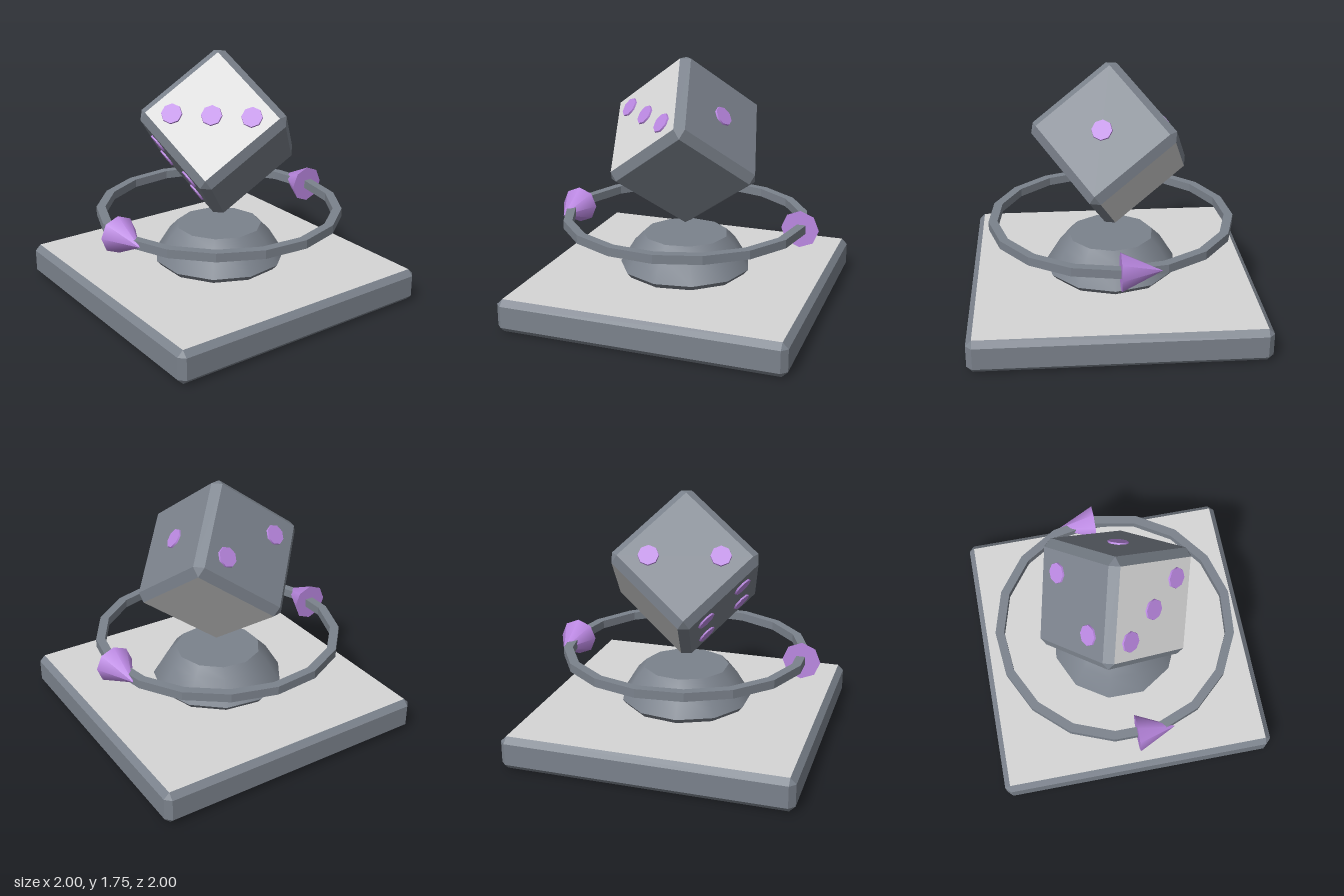
import * as THREE from 'three';
import { toCreasedNormals } from 'three/addons/utils/BufferGeometryUtils.js';
import { ConvexGeometry } from 'three/addons/geometries/ConvexGeometry.js';

// Box with chamfered edges and corners; its +y and -y faces use material 1, the rest material 0.
function chamferBox(hx, hy, hz, b) {
  const points = [];
  for (const sx of [-1, 1]) for (const sy of [-1, 1]) for (const sz of [-1, 1]) {
    points.push(
      new THREE.Vector3(sx * hx, sy * (hy - b), sz * (hz - b)),
      new THREE.Vector3(sx * (hx - b), sy * hy, sz * (hz - b)),
      new THREE.Vector3(sx * (hx - b), sy * (hy - b), sz * hz));
  }
  const geometry = new ConvexGeometry(points);
  const normal = geometry.getAttribute('normal');
  for (let i = 0; i < normal.count; i += 3) {
    geometry.addGroup(i, 3, Math.abs(normal.getY(i)) > 0.99 ? 1 : 0);
  }
  return geometry;
}

// Surface turned about the y axis with a corner on +x.
function turned(profile, sides, crease) {
  const points = profile.map(([r, y]) => new THREE.Vector2(r, y));
  return toCreasedNormals(new THREE.LatheGeometry(points, sides, Math.PI / 2), crease);
}

export function createModel() {
  const model = new THREE.Group();
  model.name = 'dieOnStand';

  const slate = new THREE.MeshStandardMaterial({ color: 0x7b828c });
  slate.name = 'slate grey';
  const pale = new THREE.MeshStandardMaterial({ color: 0xd6d6d6 });
  pale.name = 'pale grey';
  const purple = new THREE.MeshStandardMaterial({ color: 0xbb88e2 });
  purple.name = 'purple';

  const add = (parent, name, geometry, material) => {
    const mesh = new THREE.Mesh(geometry, material);
    mesh.name = name;
    parent.add(mesh);
    return mesh;
  };

  // Square base plate
  add(model, 'basePlate', chamferBox(1, 0.1165, 1, 0.04), [slate, pale]).position.y = 0.1165;

  // Low pedestal with a bevelled rim
  add(model, 'pedestal', turned(
    [[0, 0.23], [0.435, 0.23], [0.47, 0.27], [0.365, 0.44], [0.305, 0.5], [0, 0.5]], 11, 0.76), slate);

  // Square-section ring
  add(model, 'ring', turned(
    [[0.87, 0.588], [0.87, 0.648], [0.807, 0.648], [0.807, 0.588], [0.87, 0.588]], 17, 0.1), slate);

  // Two arrowheads chasing each other round the ring
  for (const side of [-1, 1]) {
    const cone = add(model, side > 0 ? 'leftArrowhead' : 'rightArrowhead',
      new THREE.ConeGeometry(0.132, 0.27, 8), purple);
    cone.position.set(side * 0.83, 0.617, -side * 0.14);
    cone.rotation.x = -side * Math.PI / 2;
  }

  // Die balanced on one corner: three face normals lean equally away from vertical
  const lean = degrees => {
    const a = THREE.MathUtils.degToRad(degrees);
    return new THREE.Vector3(
      Math.sqrt(2 / 3) * Math.cos(a), Math.sqrt(1 / 3), Math.sqrt(2 / 3) * Math.sin(a));
  };
  const die = new THREE.Group();
  die.name = 'die';
  die.position.y = 1.171;
  die.quaternion.setFromRotationMatrix(
    new THREE.Matrix4().makeBasis(lean(15), lean(135), lean(255).negate()));
  model.add(die);

  const h = 0.372;
  add(die, 'dieBody', chamferBox(h, h, h, 0.053), [slate, pale]);

  // Raised pips, each given by its place on the die and the face it sits on
  const pipGeometry = new THREE.CylinderGeometry(0.07, 0.075, 0.024, 8);
  const up = new THREE.Vector3(0, 1, 0);
  const pip = (x, y, z, normal) => {
    const mesh = add(die, 'pip', pipGeometry, purple);
    mesh.position.set(x, y, z);
    mesh.quaternion.setFromUnitVectors(up, normal);
  };
  pip(h, 0, 0, new THREE.Vector3(1, 0, 0));
  for (const t of [-0.19, 0, 0.19]) pip(t, h, t, up);
  for (const t of [-0.17, 0.17]) {
    pip(t, -t, -h, new THREE.Vector3(0, 0, -1));
    for (const s of [-0.17, 0.17]) pip(-h, t, s, new THREE.Vector3(-1, 0, 0));
  }

  return model;
}
